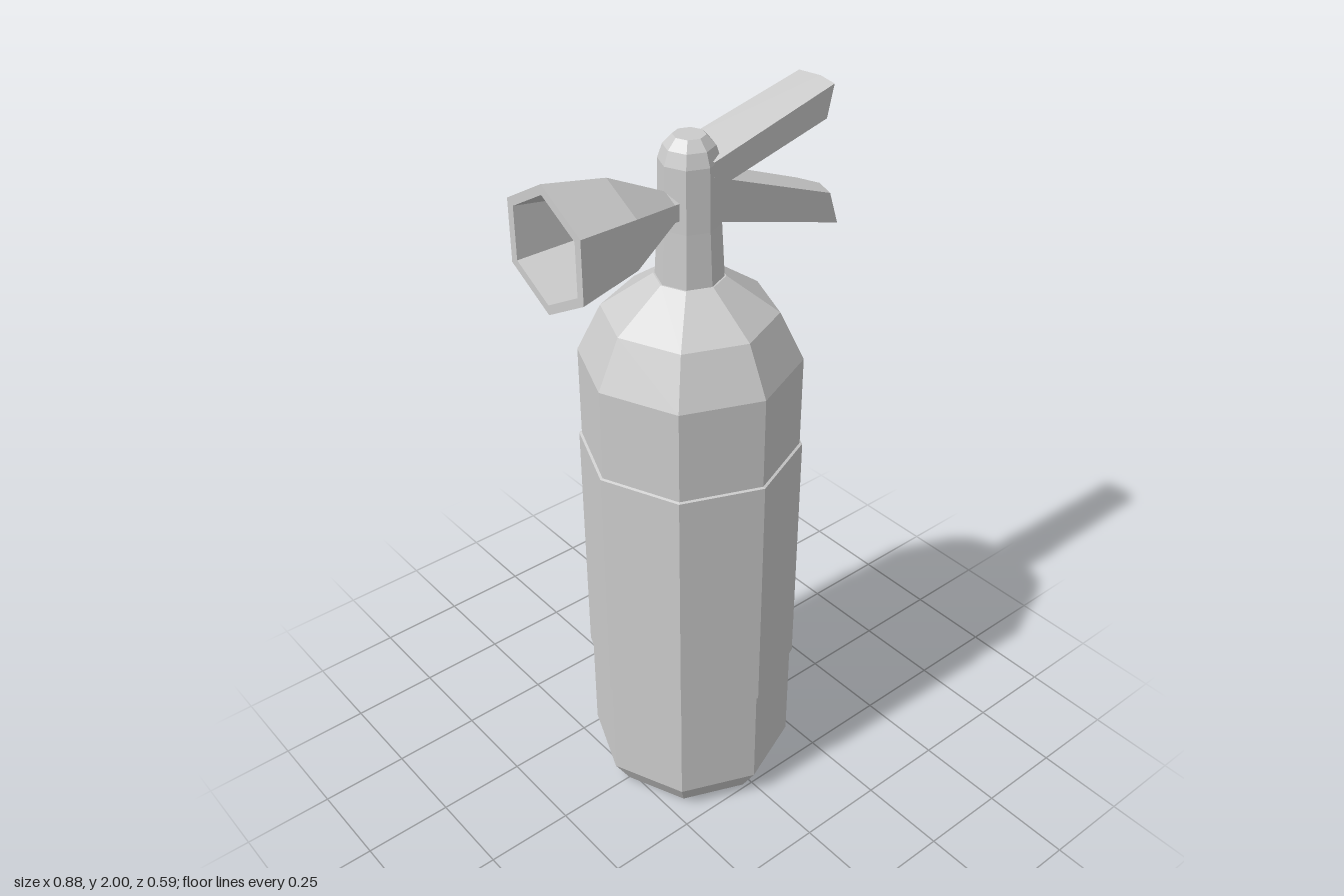
import * as THREE from 'three';

const AXIS_X = -0.026; // the cylinder axis sits slightly off centre

export function createModel() {
  const model = new THREE.Group();
  model.name = 'fireExtinguisher';
  const grey = new THREE.MeshStandardMaterial({ color: 0xcccccc, flatShading: true });

  const add = (name, geometry, x = 0, y = 0) => {
    const mesh = new THREE.Mesh(geometry, grey);
    mesh.name = name;
    mesh.position.set(x, y, 0);
    model.add(mesh);
    return mesh;
  };
  // Faceted turned part from [radius, height] pairs, listed bottom to top
  const turned = (points, sides, start = 0) =>
    new THREE.LatheGeometry(points.map(([r, y]) => new THREE.Vector2(r, y)), sides, start);

  // Lever with a pointed tip: each section holds top [x, y], bottom [x, y], half width, nose
  const lever = (sections) => {
    const positions = [];
    const index = [];
    for (const { top, bottom, half, nose } of sections) {
      positions.push(
        ...top, half, ...bottom, half, bottom[0] + nose, bottom[1], 0,
        ...bottom, -half, ...top, -half, top[0] + nose, top[1], 0);
    }
    for (let i = 0; i < 6; i++) {
      const j = (i + 1) % 6;
      index.push(i, j, 6 + j, i, 6 + j, 6 + i);
    }
    index.push(6, 7, 8, 6, 8, 11, 8, 9, 10, 8, 10, 11);
    const geometry = new THREE.BufferGeometry();
    geometry.setAttribute('position', new THREE.Float32BufferAttribute(positions, 3));
    geometry.setIndex(index);
    const flat = geometry.toNonIndexed();
    flat.computeVertexNormals();
    return flat;
  };

  // Octagonal tank with chamfered base and sloping shoulder
  add('tank', turned([
    [0, 0], [0.24, 0], [0.287, 0.08], [0.287, 1.375], [0.224, 1.505], [0.09, 1.6], [0, 1.6],
  ], 8), AXIS_X);

  // Raised label band around the tank
  add('labelBand', turned([
    [0.28, 0.39], [0.294, 0.395], [0.294, 1.118], [0.28, 1.123],
  ], 8), AXIS_X);

  // Valve neck with domed cap
  add('valve', turned([
    [0.086, 1.595], [0.078, 1.74], [0.075, 1.9], [0.063, 1.935], [0.04, 1.96], [0, 1.96],
  ], 8), AXIS_X);

  // Squeeze lever, angled up
  add('upperLever', lever([
    { top: [-0.01, 1.908], bottom: [-0.01, 1.838], half: 0.071, nose: 0.015 },
    { top: [0.375, 2], bottom: [0.355, 1.918], half: 0.062, nose: 0.013 },
  ]));

  // Carrying handle, angled down
  add('lowerHandle', lever([
    { top: [-0.01, 1.872], bottom: [-0.01, 1.76], half: 0.071, nose: 0.015 },
    { top: [0.382, 1.715], bottom: [0.413, 1.625], half: 0.061, nose: 0.022 },
  ]));

  // Hollow hexagonal discharge horn, pointing to the side
  const horn = add('horn', turned([
    [0.044, 0.04], [0.044, 0.1], [0.125, 0.265], [0.16, 0.44],
    [0.135, 0.44], [0.105, 0.275], [0, 0.2],
  ], 6, Math.PI / 2), 0, 1.795);
  horn.rotation.z = Math.PI / 2;

  return model;
}
